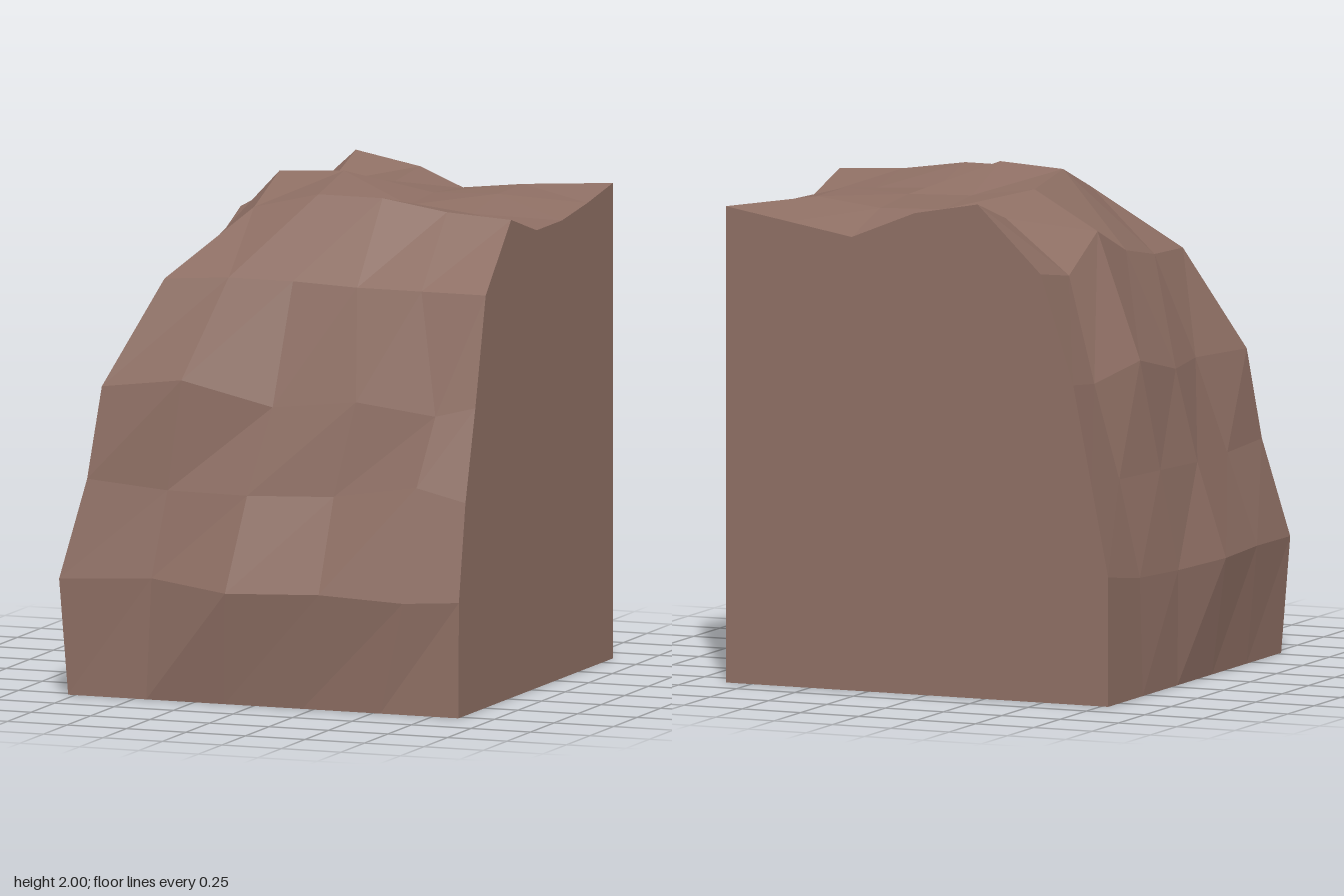
import * as THREE from 'three';

// Top surface: square grid, heights listed row by row from front to back
const STEP = 0.27;
const TOP_HEIGHTS = [
  [1.62, 1.64, 1.64, 1.63, 1.63, 1.63],
  [1.63, 1.88, 1.945, 1.945, 1.905, 1.89],
  [1.68, 1.985, 2.0, 1.88, 1.86, 1.81],
  [1.79, 1.94, 1.90, 1.89, 1.90, 1.81],
  [1.65, 1.86, 1.88, 1.87, 1.90, 1.84],
  [1.69, 1.95, 1.90, 1.79, 1.835, 1.88],
];

// Left cliff rings, [x, y, z] from the back edge towards the front corner
const LEFT_RINGS = [
  [[-0.78, 0.51, -0.86], [-0.78, 0.47, -0.56], [-0.80, 0.46, -0.24], [-0.86, 0.47, 0.08], [-0.83, 0.47, 0.44]],
  [[-0.71, 0.86, -0.86], [-0.71, 0.86, -0.6], [-0.75, 0.86, -0.3], [-0.76, 0.85, 0.03], [-0.73, 0.84, 0.38]],
  [[-0.63, 1.26, -0.86], [-0.63, 1.24, -0.66], [-0.70, 1.30, -0.38], [-0.69, 1.22, -0.02], [-0.63, 1.22, 0.3]],
];

// Front cliff rings, from the front corner to the right edge
const FRONT_RINGS = [
  [[-0.81, 0.46, 0.80], [-0.43, 0.48, 0.78], [-0.09, 0.45, 0.86], [0.3, 0.465, 0.85], [0.64, 0.445, 0.815], [0.86, 0.455, 0.775]],
  [[-0.72, 0.85, 0.73], [-0.39, 0.82, 0.71], [-0.05, 0.82, 0.725], [0.3, 0.83, 0.69], [0.66, 0.89, 0.72], [0.86, 0.84, 0.705]],
  [[-0.68, 1.21, 0.675], [-0.34, 1.255, 0.69], [0.02, 1.16, 0.63], [0.37, 1.2, 0.63], [0.7, 1.16, 0.62], [0.86, 1.2, 0.60]],
];

// Faceted sheet spanning a list of point rows
function sheet(rows) {
  const pos = [];
  for (let j = 0; j < rows.length - 1; j++) {
    for (let i = 0; i < rows[j].length - 1; i++) {
      const a = rows[j][i], b = rows[j][i + 1], c = rows[j + 1][i + 1], d = rows[j + 1][i];
      pos.push(...a, ...b, ...c, ...a, ...c, ...d);
    }
  }
  const geo = new THREE.BufferGeometry();
  geo.setAttribute('position', new THREE.Float32BufferAttribute(pos, 3));
  geo.computeVertexNormals();
  return geo;
}

// Flat upright wall outlined by 2D points, each mapped into place
function wall(outline, place) {
  const geo = new THREE.ShapeGeometry(new THREE.Shape(outline.map(([u, v]) => new THREE.Vector2(u, v))));
  const p = geo.attributes.position;
  for (let i = 0; i < p.count; i++) p.setXYZ(i, ...place(p.getX(i), p.getY(i)));
  geo.computeVertexNormals();
  return geo;
}

export function createModel() {
  const group = new THREE.Group();
  const rock = new THREE.MeshStandardMaterial({ color: 0x8d6e63, flatShading: true, side: THREE.DoubleSide });
  rock.name = 'brownRock';
  const add = (name, geo) => {
    const mesh = new THREE.Mesh(geo, rock);
    mesh.name = name;
    group.add(mesh);
  };

  const top = TOP_HEIGHTS.map((row, k) => row.map((y, i) => [-0.49 + i * STEP, y, 0.49 - k * STEP]));

  // Straight base lines and the rim shared with the top
  const base = [0, 1, 2, 3, 4, 5].map((i) => -0.78 + i * 0.328);
  const frontRows = [base.map((x) => [x, 0, 0.78]), ...FRONT_RINGS, top[0]];
  const leftRows = [
    base.map((v) => [-0.78, 0, -v]).reverse(),
    ...LEFT_RINGS.map((ring, j) => [...ring, FRONT_RINGS[j][0]]),
    top.map((row) => row[0]).reverse(),
  ];

  add('rockTop', sheet(top));
  add('frontCliff', sheet(frontRows));
  add('leftCliff', sheet(leftRows));

  // Flat cut walls follow the cliff edge up and the top edge across
  const rightEdge = [...frontRows.map((r) => r[5]), ...top.slice(1).map((r) => r[5]), [0.86, 0, -0.86]];
  add('rightWall', wall(rightEdge.map(([, y, z]) => [-z, y]), (u, v) => [0.86, v, -u]));

  const backEdge = [...leftRows.map((r) => r[0]), ...top[5].slice(1), [0.86, 0, -0.86]];
  add('backWall', wall(backEdge.map(([x, y]) => [-x, y]), (u, v) => [-u, v, -0.86]));

  return group;
}
